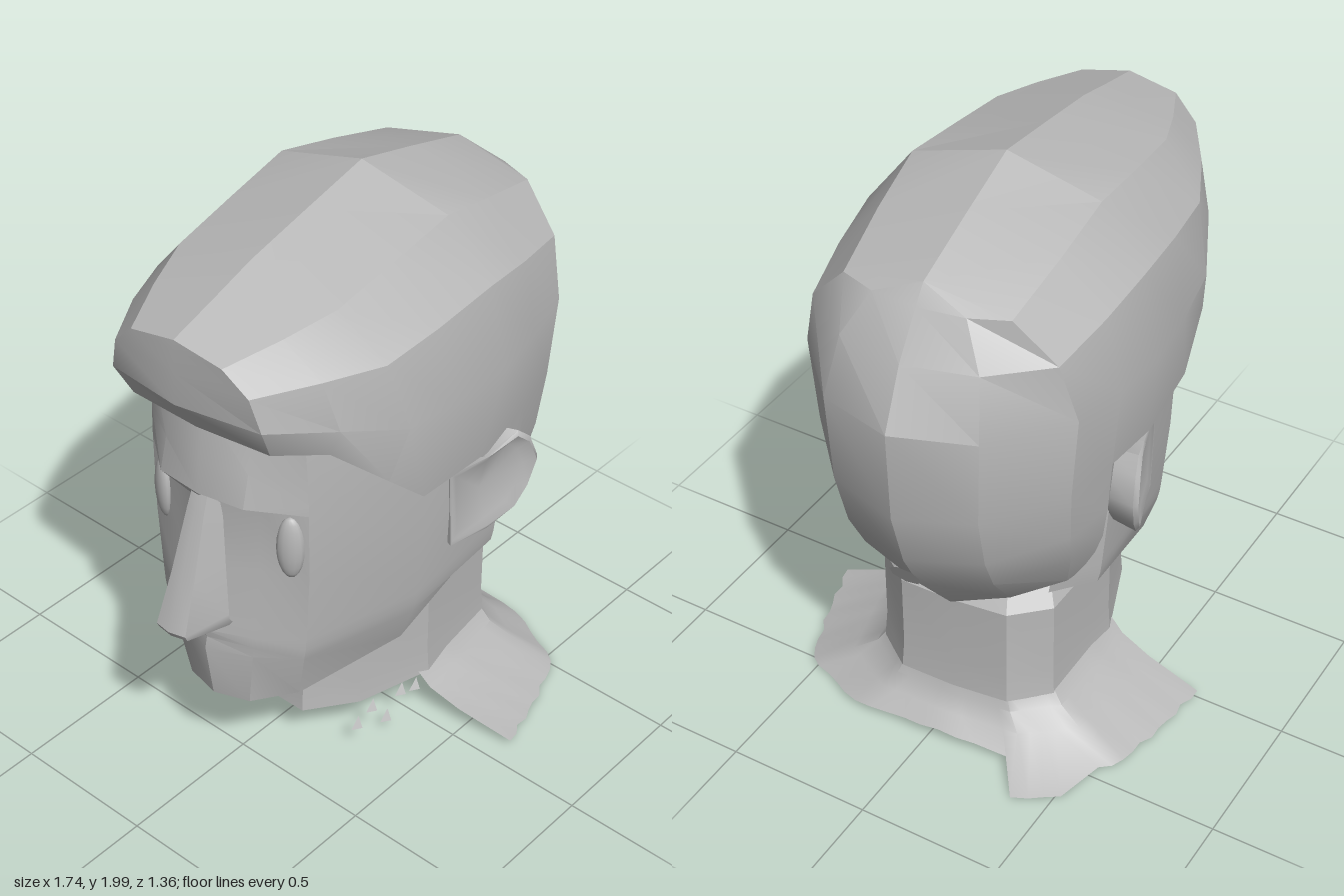
import * as THREE from 'three';
import { toCreasedNormals } from 'three/addons/utils/BufferGeometryUtils.js';

const grey = new THREE.MeshStandardMaterial({ color: 0xb8b8b8, side: THREE.DoubleSide });
grey.name = 'plaster grey';
const lerp = THREE.MathUtils.lerp;

// Skins a grid of columns of [x, y, z] points; short columns repeat their last point.
function skin(name, cols, closed, crease) {
  const rows = Math.max(...cols.map((c) => c.length));
  const at = (i, j) => { const c = cols[i % cols.length]; return c[Math.min(j, c.length - 1)]; };
  const pos = [];
  const tri = (a, b, c) => {
    const [p, q, r] = [a, b, c].map((v) => new THREE.Vector3(...v));
    if (q.sub(p).cross(r.sub(p)).length() > 1e-7) pos.push(...a, ...b, ...c);
  };
  const n = closed ? cols.length : cols.length - 1;
  for (let i = 0; i < n; i++) {
    for (let j = 0; j < rows - 1; j++) {
      const a = at(i, j), b = at(i, j + 1), c = at(i + 1, j + 1), d = at(i + 1, j);
      tri(a, b, c);
      tri(a, c, d);
    }
  }
  const g = new THREE.BufferGeometry();
  g.setAttribute('position', new THREE.Float32BufferAttribute(pos, 3));
  const mesh = new THREE.Mesh(toCreasedNormals(g, crease), grey);
  mesh.name = name;
  return mesh;
}

const flip = ([x, y, z]) => [x, y, -z];
// Completes columns that run from the front middle to the back middle on one side.
const around = (half) => [...half, ...half.slice(1, -1).reverse().map((c) => c.map(flip))];
// Completes columns that run from the middle outward.
const across = (half) => [...half.slice(1).reverse().map((c) => c.map(flip)), ...half];

function makeHair() {
  // widest point x y z, ridge x y, then the hairline x y z where it crosses the face
  const stations = [
    [-.79, 1.6, 0, -.78, 1.82, -.7, 1.47, 0],
    [-.74, 1.59, .28, -.78, 1.82, -.68, 1.47, .26],
    [-.53, 1.53, .4, -.6, 1.865, -.54, 1.44, .37],
    [-.31, 1.45, .49, -.43, 1.91, -.37, 1.28, .46],
    [-.1, 1.43, .51, -.17, 1.955, -.21, 1.13, .475],
    [.14, 1.43, .525, .1, 2, .08, 1.11, .485],
    [.34, 1.44, .5, .35, 1.93],
    [.54, 1.45, .455, .62, 1.85],
    [.78, 1.46, .256, .62, 1.85],
    [.87, 1.47, 0, .62, 1.85],
  ];
  const half = stations.map(([x, y, z, rx, ry, hx, hy, hz]) => {
    const col = [
      [rx, ry, 0],
      [lerp(rx, x, .2), lerp(y, ry, .85), z * .6],
      [lerp(rx, x, .62), lerp(y, ry, .5), z * .89],
      [x, y, z],
    ];
    if (hx !== undefined) {
      col.push([hx, hy, hz], [hx + .07, hy, hz * .85]);
    } else {
      // the back of the head tapers into the nape
      for (const [ny, kx, kz] of [[1.15, .98, .95], [.94, .88, .92], [.78, .74, .88], [.54, .42, .76], [.54, .2, .5]]) {
        col.push([.25 + (x - .25) * kx, ny + z * .45 * (1 - kx), z * kz]);
      }
    }
    return col;
  });
  return skin('hair', around(half), true, .4);
}

function makeFace() {
  const jaw = [[-.675, .4, 0], [-.64, .4, .12], [-.51, .4, .22], [-.17, .48, .37], [.27, .62, .39], [.38, .65, .27]];
  const outline = [[-.69, 0], [-.645, .16], [-.56, .305], [-.17, .45], [.28, .445], [.4, .32]];
  // height, forward shift of the middle and of the next point, width factor
  const levels = [
    [1.52, -.03, -.02, .95], [1.34, .005, .015, .99],
    [1.23, .02, .045, 1], [1.19, 0, -.035, 1],
    [.95, 0, -.025, 1], [.74, .01, 0, .96],
    [.69, .02, .005, .95], [.65, .005, .005, .94], [.61, .015, .005, .92],
  ];
  const half = outline.map(([x, z], i) => [
    ...levels.map(([y, mid, next, k]) => [x - ([mid, next][i] ?? 0), y, z * k]),
    jaw[i],
    [jaw[i][0] * .6 + .06, jaw[i][1], jaw[i][2] * .7],
  ]);
  return skin('face', across(half), false, .5);
}

function makeNose() {
  // bridge to base: x, y, half width
  const profile = [[-.7, 1.23, .05], [-.725, 1.17, .055], [-.8, .96, .075], [-.87, .79, .095], [-.86, .77, .095], [-.7, .72, .08]];
  const half = [[0, 0], [.05, .6], [.76, 1]].map(([back, out]) =>
    profile.map(([x, y, w]) => [lerp(x, -.64, back), y, w * out]));
  return skin('nose', across(half), false, .6);
}

function makeEar(side) {
  // outline in side view; the front lies flush with the cheek and the back flares out
  const rim = [[-.04, 1.1], [.13, 1.1], [.24, 1.135], [.29, 1.09], [.325, 1], [.29, .9], [.24, .83], [.13, .795], [-.02, .8]];
  const [cx, cy] = [.1, .97];
  const cols = rim.map(([x, y]) => {
    const z = .452 + .31 * Math.max(x, 0);
    const flare = Math.max(x, 0) * .09;
    return [[0, .468], [.75, z - flare], [.92, z], [1, z - flare * .4], [.9, .4]]
      .map(([t, pz]) => [lerp(cx, x, t), lerp(cy, y, t), pz * side]);
  });
  return skin(side > 0 ? 'leftEar' : 'rightEar', side > 0 ? cols : cols.reverse(), true, .9);
}

function makeEye(side) {
  const eye = new THREE.Mesh(new THREE.SphereGeometry(1, 14, 10), grey);
  eye.name = side > 0 ? 'leftEye' : 'rightEye';
  eye.scale.set(.028, .115, .045);
  eye.position.set(-.58, 1.06, side * .25);
  eye.rotation.y = side * .5;
  return eye;
}

function makeNeck() {
  // outline from the throat round to the nape, with a ragged lower edge in front
  const outline = [[-.39, 0], [-.38, .13], [-.24, .26], [.03, .34], [.39, .31], [.49, .19], [.5, 0]];
  const half = outline.map(([x, z], i) => {
    const low = i < 3 ? .2 + .025 * Math.sin(i * 5) : .17;
    return [[.64, .85], [.54, 1], [.27, 1], [low, 1.02]].map(([y, k]) => [x * k, y, z * k]);
  });
  return skin('neck', around(half), true, .35);
}

function makeShoulders() {
  // neck x z, torn edge x z, torn edge height
  const spokes = [[-.01, .33, .04, .68, .03], [.15, .335, .25, .635, .02], [.39, .31, .47, .57, .015],
    [.49, .19, .6, .33, .03], [.5, 0, .62, 0, .06]];
  const steps = 5;
  const half = [];
  for (let k = 0; k <= (spokes.length - 1) * steps; k++) {
    const i = Math.min(Math.floor(k / steps), spokes.length - 2);
    const [ix, iz, ox, oz, low] = spokes[i].map((v, n) => lerp(v, spokes[i + 1][n], k / steps - i));
    const tear = 1 + .025 * Math.sin(k * 2.4);
    half.push([[0, .19], [.14, .135], [.45, .085], [tear, low]]
      .map(([f, y]) => [lerp(ix, ox, f), y, lerp(iz, oz, f)]));
  }
  const all = [...half, ...half.slice(0, -1).reverse().map((c) => c.map(flip))];
  // the right corner of the nape reaches further out
  for (const c of all) {
    const p = c[3];
    if (p[2] < -.3 && p[2] > -.5) { p[0] += .14; p[1] = .01; }
  }
  return skin('shoulders', all, false, .6);
}

// loose scraps below the throat
function makeScraps() {
  const scraps = new THREE.Group();
  scraps.name = 'scraps';
  for (let i = 0; i < 5; i++) {
    const x = -.3 + i * .065, y = .05 + .05 * (1 + Math.sin(i * 2.3)), z = .27 + .012 * i;
    scraps.add(skin('scrap', [[[x, y, z], [x + .04, y + .035, z]], [[x + .035, y - .005, z + .02]]], false, .5));
  }
  return scraps;
}

// small torn patch lying on the back of the head
function makePatch() {
  const patch = new THREE.Mesh(new THREE.CircleGeometry(.055, 7), grey);
  patch.name = 'backPatch';
  patch.position.set(.755, .84, .02);
  patch.lookAt(1.655, .39, .02);
  return patch;
}

export function createModel() {
  const model = new THREE.Group();
  model.name = 'headBust';
  const head = new THREE.Group();
  head.name = 'head';
  head.add(makeHair(), makeFace(), makeNose(), makeNeck(), makeShoulders(), makeScraps(), makePatch());
  for (const side of [1, -1]) head.add(makeEar(side), makeEye(side));
  head.rotation.y = .07;
  model.add(head);
  return model;
}
